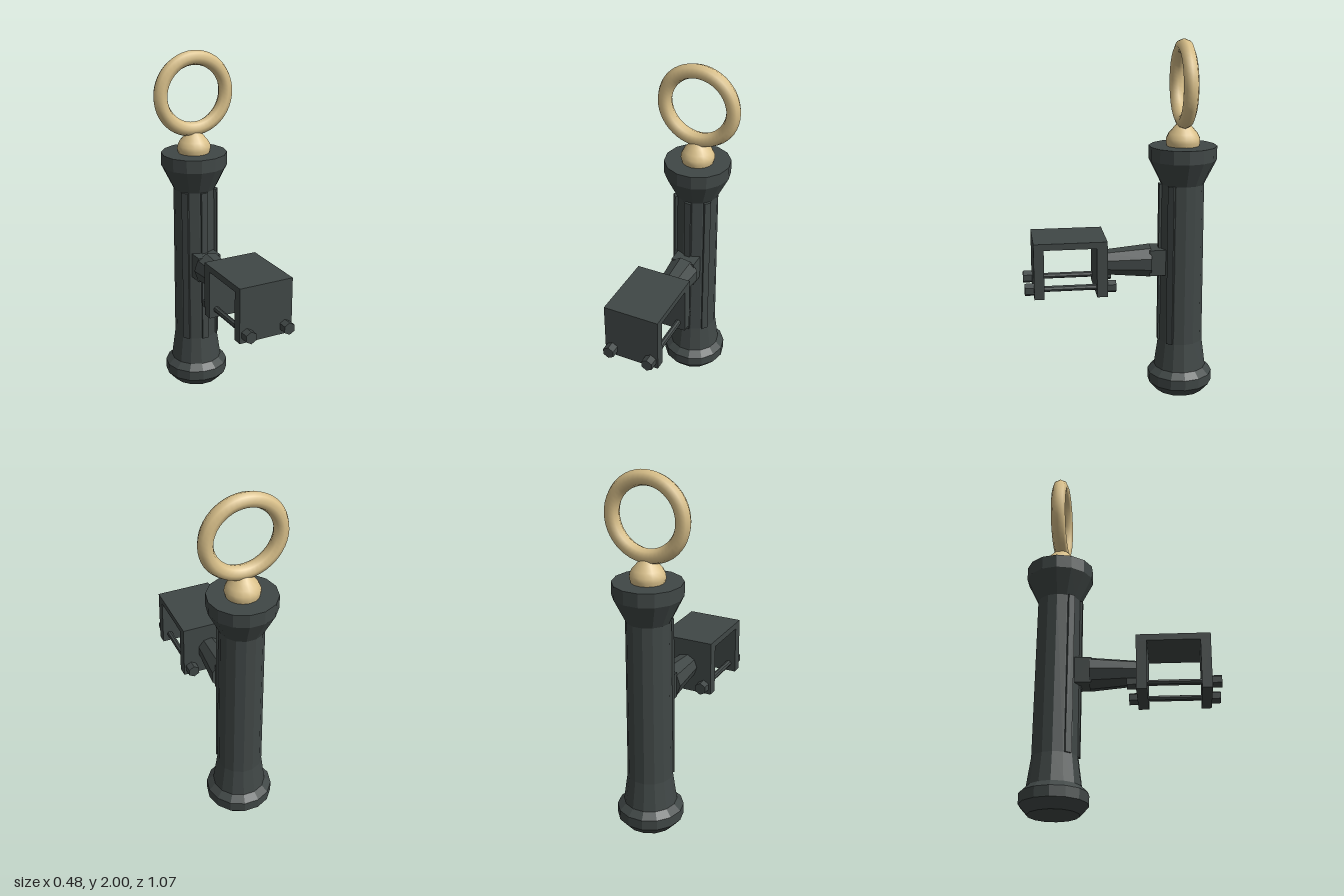
import * as THREE from 'three';

export function createModel() {
  const root = new THREE.Group();
  const iron = new THREE.MeshStandardMaterial({ color: 0x404746 });
  iron.name = 'dark iron';
  iron.flatShading = true;
  const brass = new THREE.MeshStandardMaterial({ color: 0xd9c08a });
  brass.name = 'brass';

  const add = (name, geometry, material, x, y, z, parent = root) => {
    const mesh = new THREE.Mesh(geometry, material);
    mesh.name = name;
    mesh.position.set(x, y, z);
    parent.add(mesh);
    return mesh;
  };
  const box = (name, w, h, d, x, y, z, parent) =>
    add(name, new THREE.BoxGeometry(w, h, d), iron, x, y, z, parent);
  // Cylinder lying along z, with its rTop end towards the front
  const rod = (name, rFront, rBack, z0, z1, sides, x, y, start = 0, parent = root) => {
    const g = new THREE.CylinderGeometry(rFront, rBack, z1 - z0, sides, 1, false, start);
    g.rotateX(Math.PI / 2);
    return add(name, g, iron, x, y, (z0 + z1) / 2, parent);
  };
  const lathe = (points, sides, start = 0) =>
    new THREE.LatheGeometry(points.map(([r, y]) => new THREE.Vector2(r, y)), sides, start);

  const axisZ = -0.35;
  const sides = 14;
  const step = (Math.PI * 2) / sides;

  // Faceted handle with foot knob and flared collar
  add('handle', lathe([
    [0, 0], [0.138, 0], [0.184, 0.052], [0.184, 0.11], [0.147, 0.145],
    [0.125, 0.305], [0.12, 1.215], [0.187, 1.35], [0.187, 1.425], [0, 1.425],
  ], sides, step / 2), iron, 0, 0, axisZ);

  // Raised ribs on the front faces of the handle
  for (const i of [-1, 0, 1]) {
    const a = i * step * 2;
    const r = 0.117;
    const rib = box('gripRib', 0.038, 0.91, 0.03, Math.sin(a) * r, 0.76, axisZ + Math.cos(a) * r);
    rib.rotation.y = a;
  }

  // Finial and hanging ring
  add('finial', lathe([
    [0.088, 1.42], [0.095, 1.445], [0.093, 1.467], [0.08, 1.493],
    [0.055, 1.522], [0.033, 1.545], [0.018, 1.555], [0, 1.558],
  ], 16), brass, 0, 0, axisZ);
  add('ring', new THREE.TorusGeometry(0.2, 0.041, 8, 48), brass, 0, 1.759, axisZ);

  // Arm joining the handle to the clamp
  box('armNeck', 0.14, 0.146, 0.09, 0, 0.778, -0.205);
  rod('arm', 0.07, 0.094, -0.17, 0.09, 9, 0, 0.776, -Math.PI / 2);

  // Open-sided clamp
  const clamp = new THREE.Group();
  clamp.name = 'clamp';
  root.add(clamp);
  box('clampTop', 0.314, 0.036, 0.4, 0, 0.919, 0.285, clamp);
  box('clampFront', 0.314, 0.276, 0.055, 0, 0.763, 0.4575, clamp);
  box('clampBack', 0.314, 0.276, 0.058, 0, 0.763, 0.114, clamp);

  // Clamp bolts with hexagonal ends
  for (const x of [-0.115, 0.115]) {
    rod('boltShaft', 0.017, 0.017, 0.1, 0.47, 8, x, 0.672, 0, clamp);
    rod('boltHead', 0.035, 0.035, 0.48, 0.535, 6, x, 0.672, 0, clamp);
    rod('boltNut', 0.035, 0.035, 0.036, 0.09, 6, x, 0.672, 0, clamp);
  }
  return root;
}
